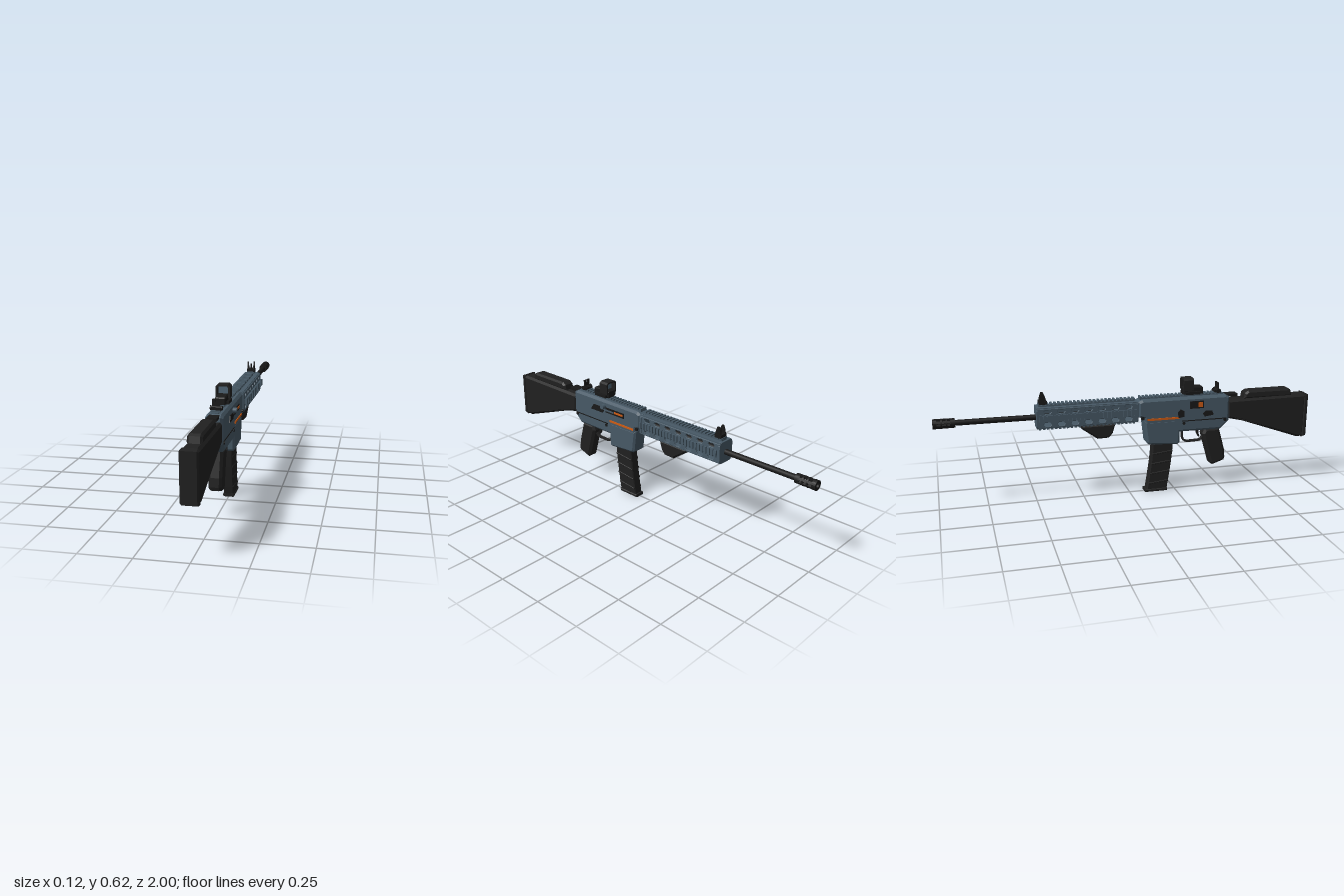
import * as THREE from 'three';

const mat = (name, color) => Object.assign(new THREE.MeshStandardMaterial({ color }), { name });

export function createModel() {
  const model = new THREE.Group();
  const slate = mat('slate metal', 0x475966);
  const black = mat('black polymer', 0x202020);
  const metal = mat('dark metal', 0x191919);
  const orange = mat('orange accent', 0xcf5c14);
  const glass = mat('lens glass', 0x4f6575);

  const add = (name, geo, m, x = 0, y = 0, z = 0) => {
    const mesh = new THREE.Mesh(geo, m);
    mesh.name = name;
    mesh.position.set(x, y, z);
    model.add(mesh);
    return mesh;
  };
  const box = (name, m, w, h, d, x, y, z) => add(name, new THREE.BoxGeometry(w, h, d), m, x, y, z);
  const path = (pts, Type = THREE.Shape) => new Type(pts.map(p => new THREE.Vector2(p[0], p[1])));
  const rect = (z, y, w, h) => [[z - w / 2, y - h / 2], [z + w / 2, y - h / 2], [z + w / 2, y + h / 2], [z - w / 2, y + h / 2]];
  // Side outline given as [z, y], extruded across x and centred at cx
  const side = (name, m, pts, width, bevel = 0, holes = [], cx = 0) => {
    const s = path(pts);
    s.holes = holes.map(h => path(h, THREE.Path));
    const g = new THREE.ExtrudeGeometry(s, {
      depth: width - 2 * bevel, bevelEnabled: bevel > 0, bevelSize: bevel,
      bevelThickness: bevel, bevelOffset: -bevel, bevelSegments: 1
    });
    g.translate(0, 0, -(width - 2 * bevel) / 2);
    g.rotateY(-Math.PI / 2);
    return add(name, g, m, cx);
  };
  // Front outline given as [x, y], extruded along z around cz
  const front = (name, m, pts, depth, cz, holes = []) => {
    const s = path(pts);
    s.holes = holes.map(h => path(h, THREE.Path));
    const g = new THREE.ExtrudeGeometry(s, { depth, bevelEnabled: false });
    return add(name, g, m, 0, 0, cz - depth / 2);
  };
  const rod = (name, m, r, len, y, z) =>
    add(name, new THREE.CylinderGeometry(r, r, len, 16).rotateX(Math.PI / 2), m, 0, y, z);
  const pin = (name, m, r, len, x, y, z) =>
    add(name, new THREE.CylinderGeometry(r, r, len, 12).rotateZ(Math.PI / 2), m, x, y, z);

  // Skeleton stock with cheek rest and butt pad
  side('stock', black,
    [[0.985, 0.25], [0.945, 0.25], [0.62, 0.365], [0.535, 0.385], [0.53, 0.485], [0.9, 0.49], [0.985, 0.49]],
    0.08, 0.012, [[[0.91, 0.29], [0.91, 0.415], [0.62, 0.415], [0.585, 0.405], [0.585, 0.395], [0.63, 0.38]]]);
  side('buttPad', black, [[1, 0.255], [0.975, 0.247], [0.975, 0.494], [1, 0.487]], 0.084, 0.008);
  side('cheekRest', black, [[0.905, 0.485], [0.895, 0.52], [0.88, 0.528], [0.65, 0.528], [0.63, 0.515], [0.625, 0.485]], 0.068, 0.01);

  // Receiver and magazine well
  side('receiver', slate,
    [[0.54, 0.375], [0.495, 0.33], [0.27, 0.33], [0.08, 0.35], [0.07, 0.415], [0.04, 0.425], [0.037, 0.505], [0.06, 0.517], [0.52, 0.517], [0.54, 0.505]],
    0.086, 0.012);
  side('magazineWell', slate, [[0.265, 0.272], [0.255, 0.262], [0.095, 0.272], [0.085, 0.282], [0.07, 0.4], [0.265, 0.4]], 0.088, 0.01);

  // Receiver rail with teeth
  box('receiverRail', slate, 0.036, 0.01, 0.46, 0, 0.518, 0.28);
  for (let i = 0; i < 23; i++) box('receiverRailTooth', slate, 0.042, 0.01, 0.011, 0, 0.525, 0.055 + i * 0.02);

  // Details on both sides of the receiver
  for (const s of [1, -1]) {
    box('accentStripe', orange, 0.004, 0.011, 0.175, s * 0.0445, 0.41, 0.172);
    box('receiverSeam', metal, 0.003, 0.005, 0.25, s * 0.0435, 0.39, 0.4);
    pin('rearPin', metal, 0.009, 0.006, s * 0.044, 0.383, 0.515);
    pin('frontPin', metal, 0.009, 0.008, s * 0.044, 0.42, 0.06);
    pin('triggerPin', metal, 0.008, 0.006, s * 0.044, 0.378, 0.285);
  }
  // Controls and bolt slot on the +x side
  const x = 0.0435;
  side('selectorPanel', metal, [[0.4, 0.445], [0.31, 0.445], [0.302, 0.46], [0.33, 0.476], [0.38, 0.476]], 0.008, 0, [], x);
  box('boltSlot', metal, 0.006, 0.028, 0.135, x, 0.467, 0.22);
  box('boltSlotCover', slate, 0.008, 0.01, 0.06, x, 0.466, 0.255);
  box('boltStripe', orange, 0.009, 0.011, 0.065, x, 0.468, 0.19);
  pin('chargingKnob', slate, 0.013, 0.026, 0.05, 0.484, 0.3);
  // Ejection port and controls on the -x side
  box('ejectionPort', metal, 0.006, 0.04, 0.075, -x, 0.475, 0.355);
  box('ejectionBolt', orange, 0.009, 0.026, 0.025, -x, 0.475, 0.375);
  side('leftSelector', metal, [[0.45, 0.415], [0.4, 0.408], [0.39, 0.425], [0.405, 0.44], [0.44, 0.438]], 0.01, 0, [], -x);
  side('boltCatch', metal, [[0.285, 0.415], [0.255, 0.41], [0.25, 0.44], [0.265, 0.455], [0.285, 0.445]], 0.012, 0, [], -x);

  // Pistol grip
  side('pistolGrip', black, [[0.49, 0.335], [0.41, 0.335], [0.397, 0.305], [0.415, 0.24], [0.445, 0.135], [0.46, 0.125], [0.525, 0.147], [0.53, 0.165], [0.525, 0.21]], 0.066, 0.013);

  // Trigger and guard
  const guard = new THREE.CatmullRomCurve3(
    [[0.405, 0.285], [0.39, 0.268], [0.35, 0.265], [0.31, 0.266], [0.293, 0.28], [0.288, 0.335]].map(p => new THREE.Vector3(0, p[1], p[0])));
  add('triggerGuard', new THREE.TubeGeometry(guard, 20, 0.006, 6).scale(2.2, 1, 1), black);
  side('trigger', metal, [[0.385, 0.335], [0.365, 0.335], [0.37, 0.305], [0.38, 0.285], [0.387, 0.287], [0.38, 0.31]], 0.014);

  // Curved magazine with slanted ribs
  const magZ = y => 0.177 - 0.034 * Math.pow((0.27 - y) / 0.27, 1.4);
  const spine = [0.27, 0.22, 0.165, 0.11, 0.055, 0.012].map(y => [magZ(y), y]);
  const rearEdge = spine.map(([z, y]) => [z + 0.056, y]);
  const frontEdge = spine.map(([z, y]) => [z - 0.056, y]).reverse();
  side('magazine', black, [...rearEdge, ...frontEdge], 0.052, 0.005);
  for (const y of [0.055, 0.11, 0.165, 0.22]) {
    const z = magZ(y);
    side('magazineRib', black, [[z + 0.055, y + 0.009], [z + 0.055, y - 0.001], [z - 0.055, y - 0.013], [z - 0.055, y - 0.003]], 0.058, 0.002);
  }
  side('magazineBase', black, rect(0.142, 0.008, 0.124, 0.016), 0.058, 0.004);

  // Hollow handguard: pierced walls, plates and end caps
  const mid = -0.227, len = 0.525;
  const slots = [];
  for (let i = 0; i < 7; i++) {
    const z = mid + (i - 3) * 0.07, a = 0.02, b = 0.01, c = 0.013;
    for (const y of [0.49, 0.425])
      slots.push([[z - a, y], [z - c, y - b], [z + c, y - b], [z + a, y], [z + c, y + b], [z - c, y + b]]);
  }
  for (const s of [1, -1]) {
    side('handguardWall', slate, rect(mid, 0.457, len, 0.1), 0.01, 0.002, slots, s * 0.043);
    box('sideRail', slate, 0.009, 0.026, len - 0.03, s * 0.051, 0.459, mid);
  }
  box('handguardTop', slate, 0.084, 0.008, len, 0, 0.507, mid);
  box('handguardBottom', slate, 0.084, 0.008, len, 0, 0.407, mid);
  const oct = [[-0.049, 0.415], [-0.036, 0.401], [0.036, 0.401], [0.049, 0.415], [0.049, 0.497], [0.036, 0.512], [-0.036, 0.512], [-0.049, 0.497]];
  for (const z of [mid - len / 2 + 0.006, mid + len / 2 - 0.01]) front('handguardCap', slate, oct, 0.016, z);
  box('topRail', slate, 0.036, 0.008, len - 0.02, 0, 0.514, mid);
  box('bottomRail', slate, 0.036, 0.008, len - 0.02, 0, 0.401, mid);
  for (let i = 0; i < 25; i++) {
    const z = mid + (i - 12) * 0.0205;
    box('topRailTooth', slate, 0.042, 0.009, 0.011, 0, 0.521, z);
    box('bottomRailTooth', slate, 0.042, 0.009, 0.011, 0, 0.395, z);
    for (const s of [1, -1]) box('sideRailTooth', slate, 0.008, 0.036, 0.011, s * 0.058, 0.459, z);
  }

  // Angled foregrip
  side('foregrip', black, [[-0.08, 0.396], [-0.095, 0.345], [-0.115, 0.322], [-0.175, 0.32], [-0.26, 0.38], [-0.262, 0.396]], 0.05, 0.009);

  // Barrel and slotted muzzle brake
  rod('barrel', metal, 0.0145, 0.9, 0.455, -0.45);
  rod('muzzleCollar', metal, 0.024, 0.024, 0.455, -0.903);
  const ring = new THREE.Shape().absarc(0, 0, 0.025, 0, Math.PI * 2);
  ring.holes.push(new THREE.Path().absarc(0, 0, 0.012, 0, Math.PI * 2, true));
  for (const [z, d] of [[-0.932, 0.008], [-0.957, 0.008], [-0.99, 0.02]]) {
    const g = new THREE.ExtrudeGeometry(ring, { depth: d, bevelEnabled: false, curveSegments: 10 });
    add('muzzleRing', g, metal, 0, 0.455, z - d / 2);
  }
  for (let i = 0; i < 6; i++) {
    const a = (i + 0.5) * Math.PI / 3;
    box('muzzleBar', metal, 0.011, 0.013, 0.08, Math.cos(a) * 0.018, 0.455 + Math.sin(a) * 0.018, -0.95).rotation.z = a;
  }

  // Reflex sight on a clamped base
  side('sightBase', metal, [[0.395, 0.528], [0.285, 0.528], [0.285, 0.562], [0.33, 0.572], [0.39, 0.566], [0.395, 0.56]], 0.052, 0.005);
  box('sightClamp', metal, 0.076, 0.015, 0.08, 0, 0.536, 0.335);
  front('sightHood', black, [[-0.035, 0.55], [0.035, 0.55], [0.035, 0.605], [0.026, 0.615], [-0.026, 0.615], [-0.035, 0.605]], 0.054, 0.312,
    [[[-0.026, 0.56], [0.026, 0.56], [0.026, 0.601], [0.021, 0.607], [-0.021, 0.607], [-0.026, 0.601]]]);
  box('sightLens', glass, 0.053, 0.048, 0.004, 0, 0.583, 0.312);

  // Rear aperture sight and charging handle
  box('rearSightBase', metal, 0.046, 0.014, 0.036, 0, 0.535, 0.478);
  front('rearSightLeaf', metal, [[-0.018, 0.535], [0.018, 0.535], [0.018, 0.58], [-0.018, 0.58]], 0.008, 0.48, [rect(0, 0.57, 0.009, 0.009)]);
  pin('rearSightDial', metal, 0.011, 0.058, 0, 0.537, 0.478);
  box('chargingHandle', metal, 0.05, 0.014, 0.085, 0, 0.508, 0.548);

  // Front post sight with ears
  box('frontSightBase', metal, 0.044, 0.018, 0.04, 0, 0.532, -0.455);
  box('frontSightPost', metal, 0.006, 0.032, 0.006, 0, 0.553, -0.455);
  for (const s of [1, -1])
    side('frontSightEar', metal, [[-0.437, 0.535], [-0.473, 0.535], [-0.468, 0.56], [-0.46, 0.58], [-0.45, 0.58], [-0.442, 0.56]], 0.006, 0, [], s * 0.017);

  return model;
}
